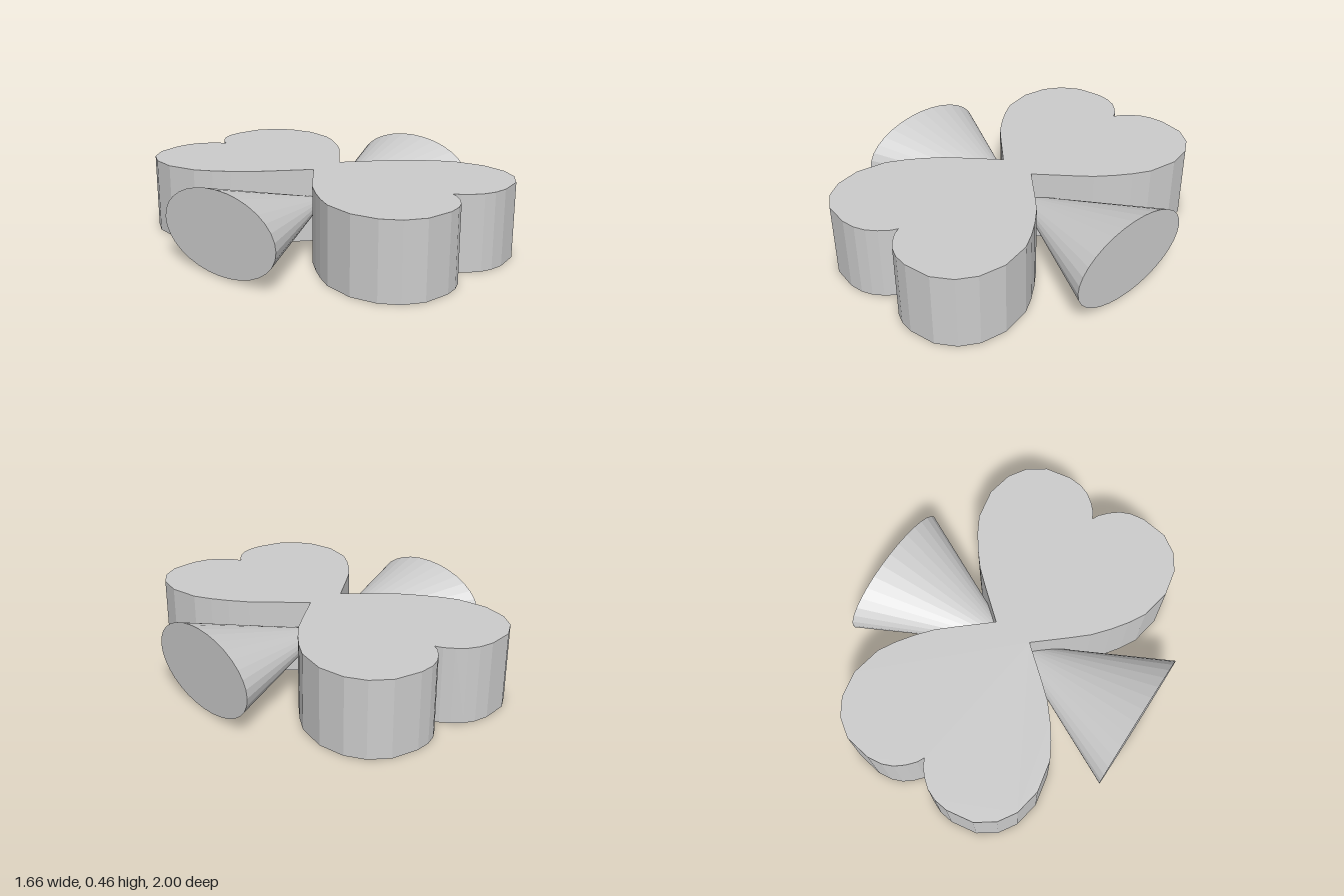
import * as THREE from 'three';

const material = new THREE.MeshStandardMaterial({ color: 0xcccccc, flatShading: true });

// Right half of the heart outline, from the notch round the lobe to the tip
const HALF_HEART = [
  [0, 0.84], [0.02, 0.88], [0.06, 0.925], [0.11, 0.965], [0.17, 0.99], [0.25, 1],
  [0.4, 0.976], [0.5, 0.907], [0.562, 0.81], [0.59, 0.664], [0.557, 0.493],
  [0.505, 0.4], [0.445, 0.315], [0.37, 0.225], [0.28, 0.145], [0.11, 0], [0, -0.1],
];

// Thick heart lying flat, its tip just past the centre
function heart(name, turn) {
  const left = HALF_HEART.slice(1, -1).reverse().map(([x, y]) => [-x, y]);
  const outline = [...HALF_HEART, ...left].map(([x, y]) => new THREE.Vector2(x, y));
  const geometry = new THREE.ExtrudeGeometry(new THREE.Shape(outline), { depth: 0.42, bevelEnabled: false });
  geometry.rotateX(-Math.PI / 2);
  const mesh = new THREE.Mesh(geometry, material);
  mesh.name = name;
  mesh.rotation.y = turn;
  return mesh;
}

// Elliptical cone lying sideways, apex at the centre and base facing outward
function cone(name, side) {
  const geometry = new THREE.ConeGeometry(1, 0.83, 32);
  geometry.translate(0, -0.415, 0);
  geometry.scale(0.228, 1, 0.412);
  geometry.rotateZ(side * Math.PI / 2);
  const mesh = new THREE.Mesh(geometry, material);
  mesh.name = name;
  mesh.position.y = 0.232;
  return mesh;
}

export function createModel() {
  const model = new THREE.Group();
  model.name = 'heartBow';
  model.add(
    heart('backHeart', 0),
    heart('frontHeart', Math.PI),
    cone('leftCone', 1),
    cone('rightCone', -1),
  );
  return model;
}
